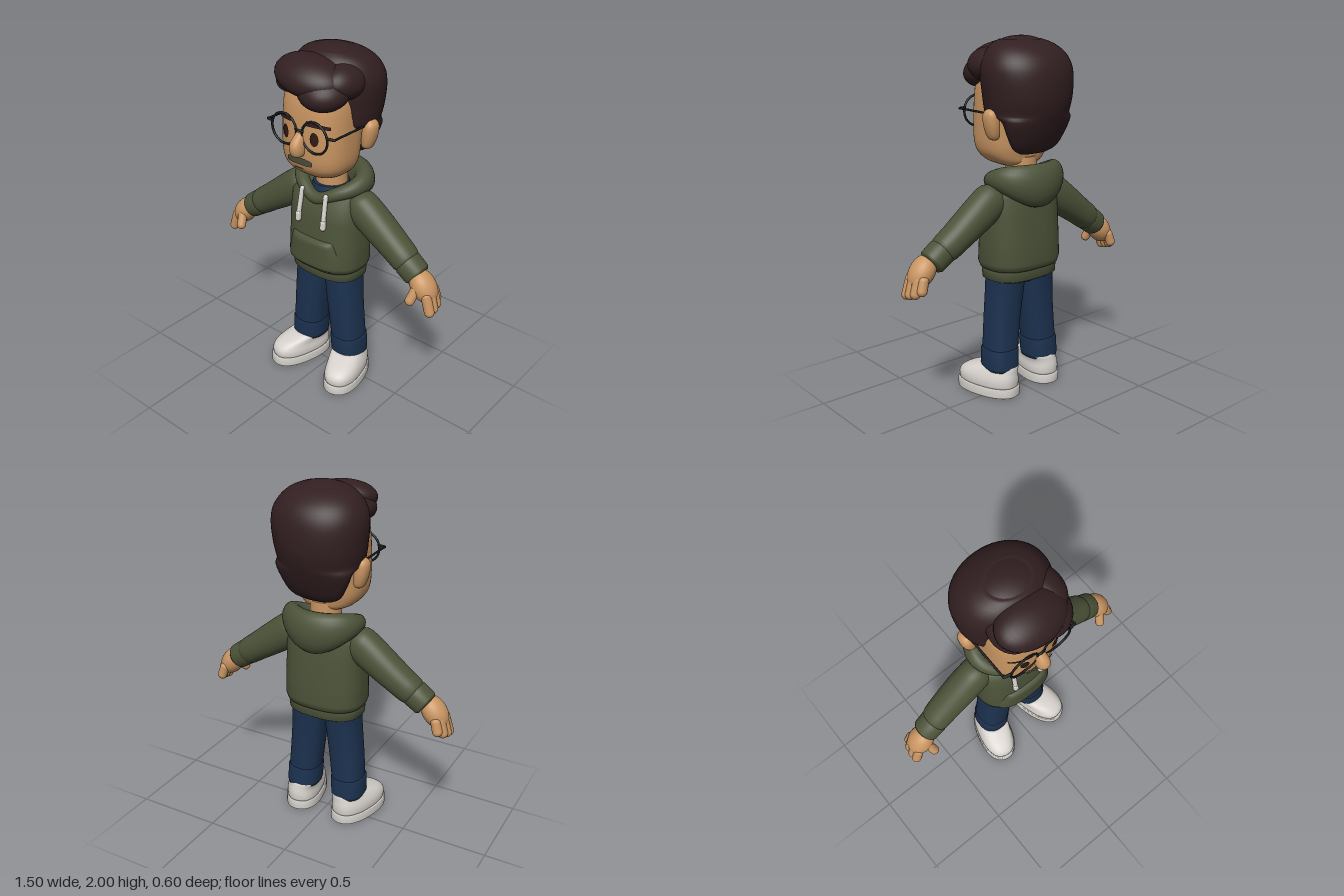
import * as THREE from 'three';
import { mergeVertices } from 'three/addons/utils/BufferGeometryUtils.js';

const paint = (name, color) => Object.assign(new THREE.MeshStandardMaterial({ color }), { name });
const V = (p) => new THREE.Vector3(...p);
const TAU = Math.PI * 2;

// Surface from a rule: fn(u, v) -> [x, y, z], outward side is du x dv
function grid(fn, nu, nv) {
  const pos = [], idx = [];
  for (let i = 0; i <= nu; i++) for (let j = 0; j <= nv; j++) pos.push(...fn(i / nu, j / nv));
  for (let i = 0; i < nu; i++) for (let j = 0; j < nv; j++) {
    const a = i * (nv + 1) + j, b = a + nv + 1;
    idx.push(a, b, a + 1, b, b + 1, a + 1);
  }
  let g = new THREE.BufferGeometry();
  g.setAttribute('position', new THREE.Float32BufferAttribute(pos, 3));
  g.setIndex(idx);
  g = mergeVertices(g, 1e-5);
  g.computeVertexNormals();
  return g;
}

// Closed body from rounded sections [y, centreX, halfWidth, frontZ, backZ], bottom to top
function loft(rows, n = 2.5, sub = 1) {
  if (sub > 1) {
    const cols = [1, 2, 3, 4].map((k) => new THREE.SplineCurve(rows.map((r) => new THREE.Vector2(r[0], r[k]))));
    const count = (rows.length - 1) * sub;
    rows = Array.from({ length: count + 1 }, (_, i) => {
      const p = cols.map((c) => c.getPoint(i / count));
      return [p[0].x, ...p.map((q) => q.y)];
    });
  }
  const cap = (r) => [r[0], r[1], 0, (r[3] + r[4]) / 2, (r[3] + r[4]) / 2];
  const all = [cap(rows[0]), ...rows, cap(rows[rows.length - 1])];
  const bow = (t) => Math.sign(t) * Math.abs(t) ** (2 / n);
  return grid((u, v) => {
    const [y, cx, rx, zf, zb] = all[Math.round(v * (all.length - 1))];
    const a = (u % 1) * TAU;
    return [cx + rx * bow(Math.sin(a)), y, (zf + zb) / 2 + (zf - zb) / 2 * bow(Math.cos(a))];
  }, 48, all.length - 1);
}

const bulge = (x, rx, c, rz) => c + rz * Math.max(0, 1 - Math.abs(x / rx) ** 2.6) ** (1 / 2.6);
const faceZ = (x) => bulge(x, 0.2, 0.06, 0.178);

export function createModel() {
  const root = new THREE.Group();
  root.name = 'figure';
  const skin = paint('skin', 0xc99562), hair = paint('hair', 0x321f21), green = paint('hoodie green', 0x4c5339);
  const denim = paint('denim', 0x1c3250), white = paint('off white', 0xd6d1cc), black = paint('frame black', 0x16181b);
  const tash = paint('moustache', 0x4c4d3b), iris = paint('eye brown', 0x2f1a14), lip = paint('mouth', 0x7d4f35);

  const add = (parent, name, geo, mat) => {
    const m = new THREE.Mesh(geo, mat);
    m.name = name;
    parent.add(m);
    return m;
  };
  const ball = (parent, name, mat, pos, rad, rot = [0, 0, 0]) => {
    const m = add(parent, name, new THREE.SphereGeometry(1, 32, 20), mat);
    m.position.set(...pos);
    m.scale.set(...rad);
    m.rotation.set(...rot);
    return m;
  };
  const rod = (parent, name, mat, a, b, r) => {
    const d = V(b).sub(V(a));
    const m = add(parent, name, new THREE.CapsuleGeometry(r, d.length(), 6, 14), mat);
    m.position.copy(V(a)).addScaledVector(d, 0.5);
    m.quaternion.setFromUnitVectors(V([0, 1, 0]), d.normalize());
    return m;
  };
  // Thin strip laid on the face
  const strip = (parent, name, mat, x0, x1, mid, half, lift) => add(parent, name, grid((u, v) => {
    const x = x0 + (x1 - x0) * u;
    return [x, mid(u) + half(u) * (2 * v - 1), faceZ(x) + lift];
  }, 16, 2), mat);

  // Head
  add(root, 'head', loft([
    [1.305, 0, 0.08, 0.11, -0.06], [1.33, 0, 0.14, 0.17, -0.09], [1.37, 0, 0.178, 0.213, -0.1],
    [1.42, 0, 0.195, 0.232, -0.11], [1.5, 0, 0.2, 0.238, -0.12], [1.65, 0, 0.2, 0.235, -0.15],
    [1.75, 0, 0.195, 0.222, -0.17], [1.83, 0, 0.17, 0.19, -0.17], [1.88, 0, 0.1, 0.13, -0.1]], 2.6, 3), skin);
  add(root, 'neck', new THREE.CylinderGeometry(0.085, 0.09, 0.22, 28).translate(0, 1.25, -0.025), skin);
  add(root, 'nose', loft([
    [1.464, 0, 0.018, 0.27, 0.215], [1.474, 0, 0.031, 0.286, 0.21], [1.5, 0, 0.037, 0.297, 0.2],
    [1.53, 0, 0.036, 0.297, 0.2], [1.56, 0, 0.03, 0.28, 0.2], [1.59, 0, 0.02, 0.246, 0.2]], 2.2, 3), skin);
  strip(root, 'moustache', tash, -0.084, 0.084, (u) => 1.436 - 0.004 * (2 * u - 1) ** 2, (u) => 0.02 - 0.01 * (2 * u - 1) ** 4, 0.004);
  strip(root, 'mouth', lip, -0.03, 0.03, () => 1.397, () => 0.004, 0.004);

  // Hair
  add(root, 'hairBack', loft([
    [1.385, 0, 0.09, -0.1, -0.15], [1.42, 0, 0.15, -0.08, -0.195], [1.5, 0, 0.195, -0.06, -0.237],
    [1.57, 0, 0.222, -0.03, -0.265], [1.6, 0, 0.236, 0.12, -0.277], [1.65, 0, 0.247, 0.138, -0.29],
    [1.7, 0.001, 0.254, 0.142, -0.298], [1.78, 0.003, 0.262, 0.145, -0.298], [1.85, 0.005, 0.257, 0.145, -0.285],
    [1.91, 0.005, 0.228, 0.13, -0.25], [1.955, 0.008, 0.18, 0.1, -0.19], [1.98, 0.01, 0.12, 0.07, -0.13]], 2.05, 3), hair);
  ball(root, 'hairCrown', hair, [0.01, 1.91, -0.03], [0.175, 0.09, 0.15]);
  ball(root, 'hairSweep', hair, [0, 1.872, 0.152], [0.2, 0.094, 0.138], [0.3, 0, -0.12]);
  ball(root, 'hairFringe', hair, [0.09, 1.818, 0.145], [0.138, 0.092, 0.142], [0.3, 0, -0.2]);
  ball(root, 'hairPart', hair, [-0.1, 1.845, 0.12], [0.108, 0.078, 0.13], [0.2, 0, 0.15]);
  ball(root, 'hairTemple', hair, [0.15, 1.85, 0.06], [0.1, 0.09, 0.14], [0, 0, -0.4]);

  // Hoodie body, hem and front pocket
  add(root, 'hoodieBody', loft([
    [0.735, 0, 0.2, 0.135, -0.15], [0.745, 0, 0.225, 0.16, -0.172], [0.78, 0, 0.237, 0.168, -0.18],
    [0.9, 0, 0.234, 0.16, -0.175], [1.05, 0, 0.23, 0.15, -0.165], [1.15, 0, 0.225, 0.13, -0.155],
    [1.195, 0, 0.2, 0.085, -0.14], [1.215, 0, 0.14, 0.04, -0.1]], 2.6), green);
  add(root, 'hem', loft([
    [0.675, 0, 0.2, 0.125, -0.142], [0.685, 0, 0.218, 0.14, -0.156],
    [0.73, 0, 0.222, 0.143, -0.158], [0.75, 0, 0.215, 0.14, -0.155]], 2.6), green);
  add(root, 'pocket', grid((u, v) => {
    const s = 2 * u - 1, t = 2 * v - 1;
    const x = s * (0.205 - 0.066 * v ** 1.5 - 0.02 * (1 - v) ** 12);
    const puff = (1 - s ** 10) * (1 - t ** 10);
    return [x, 0.75 + 0.195 * v, bulge(x, 0.234, -0.008, 0.17) - 0.015 + 0.037 * puff];
  }, 40, 24), green);

  // Hood: a ring that thickens and hangs at the back
  add(root, 'hood', grid((u, v) => {
    const a = (u % 1) * TAU, b = (v % 1) * TAU, s = (1 - Math.cos(a)) / 2;
    const rv = 0.035 + 0.03 * s + 0.055 * s ** 3, rh = 0.035 + 0.03 * s;
    const dip = 0.04 * Math.exp(-((Math.sin(a / 2) * 2 / 0.45) ** 2));
    const top = 1.24 + 0.094 * Math.sin(s * Math.PI / 2) - dip;
    const x = 0.186 * Math.sin(a), z = -0.035 + 0.142 * Math.cos(a);
    return [x + rh * Math.cos(b) * Math.sin(a), top - rv + rv * Math.sin(b), z + rh * Math.cos(b) * Math.cos(a)];
  }, 56, 20), green);
  add(root, 'shirtCollar', new THREE.CylinderGeometry(0.1, 0.12, 0.08, 28).translate(0, 1.19, -0.02), denim);
  add(root, 'hips', loft([[0.645, 0, 0.12, 0.06, -0.08], [0.67, 0, 0.18, 0.095, -0.12], [0.72, 0, 0.195, 0.1, -0.125]]), denim);

  // Paired parts, built on the left and mirrored
  for (const side of [1, -1]) {
    const half = new THREE.Group();
    half.name = side > 0 ? 'leftSide' : 'rightSide';
    half.scale.x = side;
    root.add(half);

    add(half, 'ear', loft([
      [1.468, 0.212, 0.016, -0.035, -0.07], [1.485, 0.217, 0.03, -0.018, -0.088], [1.54, 0.228, 0.038, -0.008, -0.1],
      [1.595, 0.234, 0.038, -0.008, -0.1], [1.622, 0.233, 0.028, -0.022, -0.088], [1.632, 0.23, 0.014, -0.035, -0.07]], 2.3, 3), skin);
    add(half, 'eye', grid((r, t) => {
      const x = 0.095 + 0.023 * r * Math.cos(t * TAU);
      return [x, 1.575 + 0.038 * r * Math.sin(t * TAU), faceZ(x) + 0.005];
    }, 3, 24), iris);
    strip(half, 'eyebrow', hair, 0.052, 0.168, (u) => 1.656 - 0.018 * u * u, (u) => 0.014 - 0.005 * u, 0.006);

    // Glasses
    add(half, 'glassesRim', new THREE.TorusGeometry(0.084, 0.0065, 8, 40).translate(0.102, 1.587, 0.236), black);
    rod(half, 'glassesBridge', black, [0, 1.607, 0.244], [0.024, 1.603, 0.238], 0.006);
    rod(half, 'glassesHinge', black, [0.185, 1.607, 0.234], [0.222, 1.607, 0.226], 0.008);
    rod(half, 'glassesTemple', black, [0.222, 1.607, 0.226], [0.222, 1.603, -0.03], 0.006);

    // Drawstring
    rod(half, 'drawstring', white, [0.083, 1.205, 0.128], [0.088, 1.05, 0.157], 0.0135);
    rod(half, 'drawstringTip', white, [0.088, 1.06, 0.156], [0.088, 1.03, 0.159], 0.017);

    // Sleeve and cuff
    const arm = new THREE.Group();
    arm.name = 'arm';
    arm.position.set(0.17, 1.165, -0.02);
    arm.rotation.z = -2.18;
    half.add(arm);
    add(arm, 'sleeve', loft([
      [-0.01, 0, 0.06, 0.06, -0.06], [0.03, 0, 0.093, 0.085, -0.085], [0.09, 0, 0.1, 0.09, -0.09],
      [0.2, 0, 0.094, 0.09, -0.09], [0.34, 0, 0.083, 0.087, -0.083], [0.42, 0, 0.079, 0.087, -0.075],
      [0.45, 0, 0.067, 0.078, -0.062]], 2.1, 2), green);
    add(arm, 'cuff', loft([
      [0.43, 0, 0.066, 0.078, -0.06], [0.445, 0, 0.076, 0.088, -0.067], [0.52, 0, 0.073, 0.086, -0.063],
      [0.535, 0, 0.062, 0.075, -0.052]], 2.1), green);

    // Hand with curled fingers
    const hand = new THREE.Group();
    hand.name = 'hand';
    half.add(hand);
    ball(hand, 'palm', skin, [0.65, 0.822, 0.005], [0.066, 0.1, 0.073], [0, 0, 0.65]);
    [[0.695, 0.79, 0.043, 0.722, 0.705, 0.045], [0.7, 0.79, 0.01, 0.722, 0.712, 0.012],
      [0.695, 0.79, -0.025, 0.715, 0.722, -0.025], [0.68, 0.79, -0.05, 0.695, 0.74, -0.056]]
      .forEach((f) => rod(hand, 'finger', skin, f.slice(0, 3), f.slice(3), 0.028));
    rod(hand, 'thumb', skin, [0.635, 0.815, 0.055], [0.622, 0.757, 0.085], 0.027);

    // Trouser leg and turn-up
    add(half, 'trouserLeg', loft([
      [0.2, 0.145, 0.09, 0.088, -0.11], [0.28, 0.141, 0.093, 0.092, -0.108], [0.45, 0.125, 0.097, 0.096, -0.105],
      [0.62, 0.108, 0.1, 0.1, -0.115], [0.72, 0.105, 0.1, 0.1, -0.128]], 2.4, 2), denim);
    add(half, 'turnUp', loft([
      [0.15, 0.148, 0.092, 0.09, -0.115], [0.17, 0.148, 0.097, 0.095, -0.118],
      [0.265, 0.144, 0.098, 0.098, -0.113], [0.275, 0.143, 0.092, 0.092, -0.108]], 2.4), denim);

    // Shoe, toes turned out
    const shoe = new THREE.Group();
    shoe.name = 'shoe';
    shoe.position.set(0.178, 0, 0.053);
    shoe.rotation.y = 0.25;
    half.add(shoe);
    add(shoe, 'sole', loft([
      [0, 0, 0.106, 0.194, -0.192], [0.004, 0, 0.11, 0.199, -0.197],
      [0.05, 0, 0.11, 0.199, -0.197], [0.056, 0, 0.105, 0.192, -0.19]], 2.3), white);
    add(shoe, 'shoeUpper', loft([
      [0.05, 0, 0.1, 0.185, -0.186], [0.085, 0, 0.103, 0.19, -0.189], [0.115, 0, 0.098, 0.175, -0.186],
      [0.14, -0.005, 0.093, 0.135, -0.182], [0.16, -0.012, 0.09, 0.08, -0.18], [0.175, -0.017, 0.083, 0.04, -0.174]], 2.4, 2), white);
  }
  return root;
}
